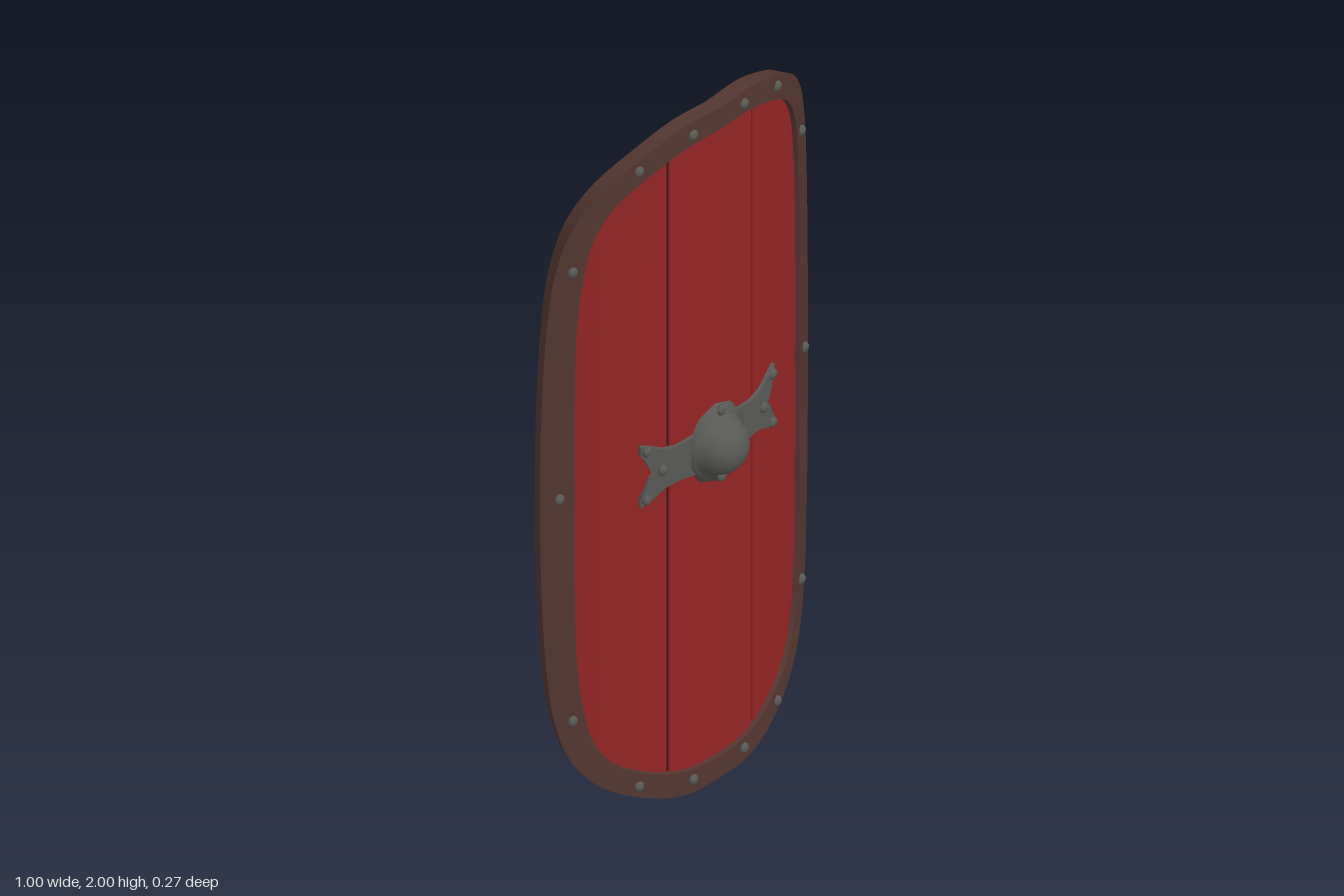
import * as THREE from 'three';
import { toCreasedNormals } from 'three/addons/utils/BufferGeometryUtils.js';

// Quarter outlines (x, height from the middle), from side to top
const OUTER = [[0.488, 0], [0.484, 0.3], [0.472, 0.53], [0.455, 0.67], [0.415, 0.8], [0.345, 0.89], [0.24, 0.955], [0.12, 0.998], [0, 1]];
const INNER = [[0.41, 0], [0.41, 0.3], [0.405, 0.5], [0.39, 0.64], [0.365, 0.75], [0.315, 0.83], [0.225, 0.89], [0.11, 0.93], [0, 0.935]];
const MIDDLE = OUTER.map(([x, y], i) => [(x + INNER[i][0]) / 2, (y + INNER[i][1]) / 2]).reverse();

// Curved surface of the shield, with an offset along its normal
const CURVE = 0.63;
function bend(x, y, offset) {
  const slope = 2 * CURVE * x, len = Math.hypot(slope, 1);
  return new THREE.Vector3(x + offset * slope / len, y, 0.033 - CURVE * x * x + offset / len);
}

// Piecewise linear lookup in [x, value] pairs of rising x
function lookup(table, x) {
  for (let i = 1; i < table.length; i++) {
    const [xa, ya] = table[i - 1], [xb, yb] = table[i];
    if (x <= xb) return ya + (yb - ya) * Math.max(0, (x - xa) / (xb - xa));
  }
  return table[table.length - 1][1];
}

// Bent slab between two heights that depend on x
function panel(x0, x1, top, bottom, back, front, steps = 14) {
  const geo = new THREE.BoxGeometry(1, 1, 1, steps, 1, 1);
  const pos = geo.attributes.position;
  for (let i = 0; i < pos.count; i++) {
    const x = x0 + (x1 - x0) * (pos.getX(i) + 0.5);
    const y = pos.getY(i) > 0 ? top(x) : bottom(x);
    const p = bend(x, y, pos.getZ(i) > 0 ? front : back);
    pos.setXYZ(i, p.x, p.y, p.z);
  }
  return toCreasedNormals(geo, 0.6);
}

// Full closed outline from a quarter
function closedOutline(quarter) {
  const half = [...quarter, ...quarter.slice(0, -1).reverse().map(([x, y]) => [-x, y])];
  const full = [...half, ...half.slice(1, -1).reverse().map(([x, y]) => [x, -y])];
  return new THREE.CatmullRomCurve3(full.map(([x, y]) => new THREE.Vector3(x, y + 1, 0)), true);
}

// Rim: rectangular section swept between the two outlines
function rimGeometry(thickness, count = 96) {
  const outer = closedOutline(OUTER), inner = closedOutline(INNER);
  const positions = [], index = [], h = thickness / 2;
  for (let i = 0; i < count; i++) {
    const o = outer.getPoint(i / count), n = inner.getPoint(i / count);
    for (const [p, d] of [[o, h], [o, -h], [n, -h], [n, h]]) positions.push(...bend(p.x, p.y, d).toArray());
    const a = i * 4, b = ((i + 1) % count) * 4;
    for (let k = 0; k < 4; k++) {
      const m = (k + 1) % 4;
      index.push(a + k, a + m, b + m, a + k, b + m, b + k);
    }
  }
  const geo = new THREE.BufferGeometry();
  geo.setAttribute('position', new THREE.Float32BufferAttribute(positions, 3));
  geo.setIndex(index);
  return toCreasedNormals(geo, 0.6);
}

export function createModel() {
  const material = (name, color) => Object.assign(new THREE.MeshStandardMaterial({ color }), { name });
  const red = material('redPaint', 0x922424);
  const darkRed = material('seamRed', 0x3c1010);
  const brown = material('brownLeather', 0x543630);
  const metal = material('greyMetal', 0x585955);

  const model = new THREE.Group();
  model.name = 'shield';
  const add = (name, geo, mat, parent = model) => {
    const mesh = new THREE.Mesh(geo, mat);
    mesh.name = name;
    parent.add(mesh);
    return mesh;
  };

  // Three planks with narrow seams between them
  const height = (x) => lookup(MIDDLE, Math.abs(x));
  const top = (x) => 1 + height(x), bottom = (x) => 1 - height(x);
  for (const [name, x0, x1] of [['rightPlank', -0.435, -0.164], ['middlePlank', -0.156, 0.141], ['leftPlank', 0.149, 0.435]]) {
    add(name, panel(x0, x1, top, bottom, -0.009, 0.01), red);
  }
  for (const x of [-0.16, 0.145]) add('plankSeam', panel(x - 0.005, x + 0.005, top, bottom, -0.005, 0.005, 1), darkRed);

  add('rim', rimGeometry(0.045), brown);

  // Bare metal patches on the back
  const cornerEdge = [[0.149, 1.67], [0.18, 1.56], [0.21, 1.52], [0.26, 1.55], [0.33, 1.6], [0.37, 1.66], [0.39, 1.72]];
  add('cornerPatch', panel(0.149, 0.39, (x) => top(x) - 0.01, (x) => lookup(cornerEdge, x), -0.012, -0.006), metal);
  const patchEdge = [[0, 0.1], [0.05, 0.095], [0.08, 0.075], [0.1, 0.045]];
  const patchHalf = (x) => lookup(patchEdge, Math.abs(x));
  add('centrePatch', panel(-0.1, 0.1, (x) => 1 + patchHalf(x), (x) => 1 - patchHalf(x), -0.012, -0.006), metal);

  // Flared boss wings, each an upper and a lower half
  const boss = new THREE.Group();
  boss.name = 'boss';
  model.add(boss);
  const wingEdge = [[0.05, 0.062], [0.14, 0.052], [0.18, 0.06], [0.21, 0.078], [0.245, 0.092]];
  const wingNotch = [[0.05, 0], [0.214, 0], [0.226, 0.035], [0.245, 0.065]];
  for (const sx of [-1, 1]) for (const sy of [-1, 1]) {
    const edge = (x) => 1 + sy * lookup(wingEdge, Math.abs(x));
    const notch = (x) => 1 + sy * lookup(wingNotch, Math.abs(x));
    const [x0, x1] = sx > 0 ? [0.05, 0.245] : [-0.245, -0.05];
    add('bossWing', panel(x0, x1, sy > 0 ? edge : notch, sy > 0 ? notch : edge, 0.008, 0.02), metal, boss);
  }

  // Flange and dome
  const flange = add('bossFlange', toCreasedNormals(new THREE.CylinderGeometry(0.94, 1, 0.02, 10).rotateX(Math.PI / 2), 0.5), metal, boss);
  flange.scale.set(0.1, 0.115, 1);
  flange.position.set(-0.005, 1, 0.049);
  const profile = [[0.086, 0.05], [0.083, 0.064], [0.077, 0.07], [0.073, 0.085], [0.062, 0.105], [0.044, 0.121], [0.022, 0.13], [0, 0.132]];
  const dome = new THREE.LatheGeometry(profile.map(([r, y]) => new THREE.Vector2(r, y)), 24).rotateX(Math.PI / 2);
  add('bossDome', dome, metal, boss).position.set(-0.008, 1, 0);

  // Rivets: on the boss, and on both faces of the rim
  const rivetGeo = new THREE.SphereGeometry(0.015, 10, 8);
  const rivet = (name, x, y, offset) => {
    const mesh = add(name, rivetGeo, metal);
    mesh.position.copy(bend(x, y, offset));
    mesh.scale.z = 0.7;
  };
  for (const s of [-1, 1]) {
    rivet('bossRivet', 0, 1 + s * 0.099, 0.027);
    rivet('bossRivet', s * 0.183, 1, 0.021);
    for (const t of [-1, 1]) rivet('bossRivet', s * 0.228, 1 + t * 0.072, 0.021);
  }
  for (const side of [-1, 1]) for (const sx of [-1, 1]) {
    rivet('rimRivet', sx * 0.445, 1, side * 0.023);
    for (const sy of [-1, 1]) for (const [x, y] of [[0.415, 0.67], [0.25, 0.918], [0.092, 0.962]]) {
      rivet('rimRivet', sx * x, 1 + sy * y, side * 0.023);
    }
  }

  // Bowed grip on the back
  const gripPath = [[-0.2, 0], [-0.185, -0.018], [-0.14, -0.038], [-0.07, -0.05], [0, -0.052], [0.07, -0.05], [0.14, -0.038], [0.185, -0.018], [0.2, 0]];
  const gripCurve = new THREE.CatmullRomCurve3(gripPath.map(([x, z]) => new THREE.Vector3(x, 1, z)));
  add('grip', new THREE.TubeGeometry(gripCurve, 32, 0.011, 10), metal);

  return model;
}
